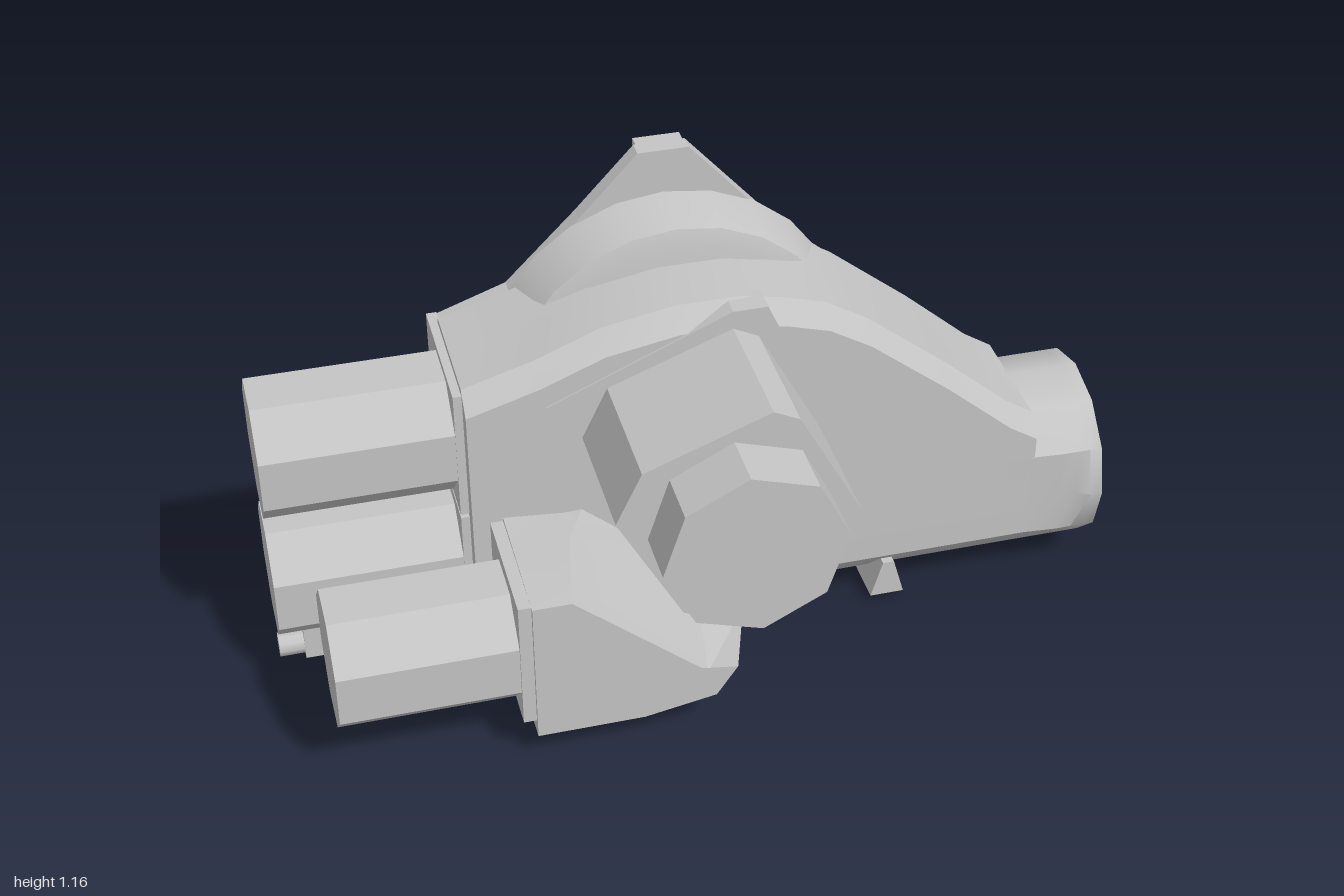
import * as THREE from 'three';
import { toCreasedNormals } from 'three/addons/utils/BufferGeometryUtils.js';

const castMetal = new THREE.MeshStandardMaterial({ color: 0xc4c4c4 });
castMetal.name = 'castMetal';

// Skin a row of matching closed sections; caps are fans around each end's centre
function loft(sections, crease = 0.6) {
  const n = sections[0].length;
  const pos = sections.flat(2);
  const idx = [];
  for (let s = 0; s < sections.length - 1; s++) {
    for (let i = 0; i < n; i++) {
      const j = (i + 1) % n, a = s * n + i, b = s * n + j;
      idx.push(a, b, b + n, a, b + n, a + n);
    }
  }
  [0, sections.length - 1].forEach((s) => {
    const c = pos.length / 3;
    for (let k = 0; k < 3; k++) pos.push(sections[s].reduce((t, p) => t + p[k], 0) / n);
    for (let i = 0; i < n; i++) {
      const a = s * n + i, b = s * n + (i + 1) % n;
      if (s === 0) idx.push(c, b, a); else idx.push(c, a, b);
    }
  });
  // Turn the skin outward if its enclosed volume is negative
  const v = (i) => new THREE.Vector3().fromArray(pos, i * 3);
  let volume = 0;
  for (let i = 0; i < idx.length; i += 3) volume += v(idx[i]).dot(v(idx[i + 1]).cross(v(idx[i + 2])));
  if (volume < 0) idx.reverse();
  const g = new THREE.BufferGeometry();
  g.setAttribute('position', new THREE.Float32BufferAttribute(pos, 3));
  g.setIndex(idx);
  return toCreasedNormals(g.toNonIndexed(), crease);
}

// Outline in x-y, extruded from z0 up to z1
function prism(points, z0, z1, hole) {
  const shape = new THREE.Shape(points.map(([x, y]) => new THREE.Vector2(x, y)));
  if (hole) shape.holes.push(new THREE.Path(hole.map(([x, y]) => new THREE.Vector2(x, y))));
  return new THREE.ExtrudeGeometry(shape, { depth: z1 - z0, bevelEnabled: false }).translate(0, 0, z0);
}

const ring = (cx, cy, r, n, turn = 0) => Array.from({ length: n }, (_, i) => {
  const a = turn + (i / n) * Math.PI * 2;
  return [cx + r * Math.cos(a), cy + r * Math.sin(a)];
});
const atZ = (points, z) => points.map(([x, y]) => [x, y, z]);

// Box given by its lower and upper corners
function box(x0, x1, y0, y1, z0, z1) {
  return new THREE.BoxGeometry(x1 - x0, y1 - y0, z1 - z0)
    .translate((x0 + x1) / 2, (y0 + y1) / 2, (z0 + z1) / 2);
}

export function createModel() {
  const model = new THREE.Group();
  model.name = 'machineHousing';
  const add = (name, geometry) => {
    const mesh = new THREE.Mesh(geometry, castMetal);
    mesh.name = name;
    model.add(mesh);
    return mesh;
  };

  // Main housing: humped top edge with a chamfered front rim
  const topEdge = [[-0.54, 0.8], [-0.37, 0.85], [-0.22, 0.91], [-0.05, 0.94], [0.1, 0.94], [0.2, 0.92],
    [0.3, 0.89], [0.4, 0.83], [0.6, 0.67], [0.76, 0.53], [0.83, 0.485]];
  add('housing', loft(topEdge.map(([x, y]) => [
    [x, 0.22, 0.055], [x, y - 0.05, 0.055], [x, y, 0.01],
    [x, y, -0.28], [x, y - 0.015, -0.29], [x, 0.22, -0.29],
  ])));

  // Lower tube: flattened front and back, flaring to a full round at the outlet
  const zMid = -0.1375;
  add('lowerTube', loft([[-0.54, 0.1925], [0.82, 0.1925], [0.9, 0.2], [0.94, 0.212], [0.97, 0.23], [1, 0.23]]
    .map(([x, half]) => ring(0, 0.265, 0.23, 12).map(([z, y]) =>
      [x, y, zMid + THREE.MathUtils.clamp(z, -half, half)]))));

  // Back plate with a round recess
  add('backPlate', prism([[-0.54, 0.15], [0.82, 0.15], [0.82, 0.45], [0.3, 0.89], [0.06, 1.16], [-0.06, 1.16],
    [-0.2, 1.01], [-0.37, 0.84], [-0.54, 0.78]], -0.33, -0.289, ring(0, 0.665, 0.335, 14, Math.PI / 14)));
  add('topTab', box(-0.055, 0.055, 1.14, 1.16, -0.36, -0.32));

  // Round hump behind the top edge
  add('hump', loft([[-0.15, 0.36], [-0.165, 0.405], [-0.2, 0.415], [-0.291, 0.432]]
    .map(([z, r]) => atZ(ring(0, 0.62, r, 24), z))));

  // Square seat and the bevelled barrel with its octagonal nose
  add('barrelSeat', prism([[-0.36, 0.75], [-0.16, 0.31], [-0.07, 0.3], [0.36, 0.48], [0.15, 0.935], [0.07, 0.935]],
    -0.015, 0.06));
  const halfBarrel = [[0.28, 0.58], [0.13, 0.86], [0.07, 0.89], [-0.22, 0.78]];
  add('barrel', prism([...halfBarrel, ...halfBarrel.map(([x, y]) => [-x, 1.234 - y])], 0.05, 0.385));
  add('barrelNose', prism(ring(0, 0.617, 0.21, 8, 0.08), 0.38, 0.518));

  // Side pipes with their square collars
  [[-1, -0.54, 0.615, -0.14], [-1, -0.54, 0.265, -0.14], [-0.91, -0.46, 0.265, 0.212]].forEach(([x0, x1, y, z]) => {
    const pipe = loft([x0, x1].map((x) => ring(z, y, 0.165, 8, Math.PI / 8).map(([pz, py]) => [x, py, pz])));
    add('sidePipe', pipe);
  });
  add('upperCollar', box(-0.56, -0.535, 0.455, 0.785, -0.33, 0.015));
  add('lowerCollar', box(-0.56, -0.535, 0.08, 0.445, -0.33, 0.015));
  add('frontCollar', box(-0.5, -0.465, 0.115, 0.45, 0.05, 0.37));

  // Front elbow fairing into the housing
  add('elbow', loft([
    atZ([[-0.47, 0.45], [-0.38, 0.45], [-0.07, 0.18], [0.0, 0.18], [-0.05, 0.105], [-0.22, 0.075], [-0.47, 0.075]], 0.38),
    atZ([[-0.47, 0.455], [-0.34, 0.46], [-0.04, 0.21], [0.07, 0.17], [0.02, 0.12], [-0.2, 0.055], [-0.47, 0.065]], 0.17),
    atZ([[-0.47, 0.46], [-0.26, 0.44], [-0.02, 0.23], [0.07, 0.19], [0.06, 0.14], [-0.18, 0.055], [-0.47, 0.06]], 0),
  ], 0.3));

  // Bracket on the back, its outer layer open to one side
  const bracket = [[0.34, 0.35], [0.4, 0.28], [0.57, 0.285]];
  const bracketTop = [[0.57, 0.575], [0.42, 0.598], [0.34, 0.55]];
  add('bracketBase', prism([...bracket, ...bracketTop], -0.43, -0.32));
  add('bracketRim', prism([...bracket, [0.57, 0.325], [0.45, 0.335], [0.45, 0.525], [0.57, 0.535], ...bracketTop],
    -0.52, -0.43));

  // Tapered feet
  [-0.44, 0.475].forEach((x) => add('foot', prism(
    [[x - 0.042, 0.022], [x + 0.042, 0.022], [x + 0.014, 0.12], [x - 0.014, 0.12]], -0.318, 0.046)));

  // Peg hanging under the lower side pipe
  add('pegPost', box(-0.94, -0.88, 0, 0.13, -0.167, -0.105));
  add('pegPin', new THREE.CylinderGeometry(0.03, 0.03, 0.07, 10).rotateZ(Math.PI / 2).translate(-0.965, 0.03, -0.136));

  return model;
}
